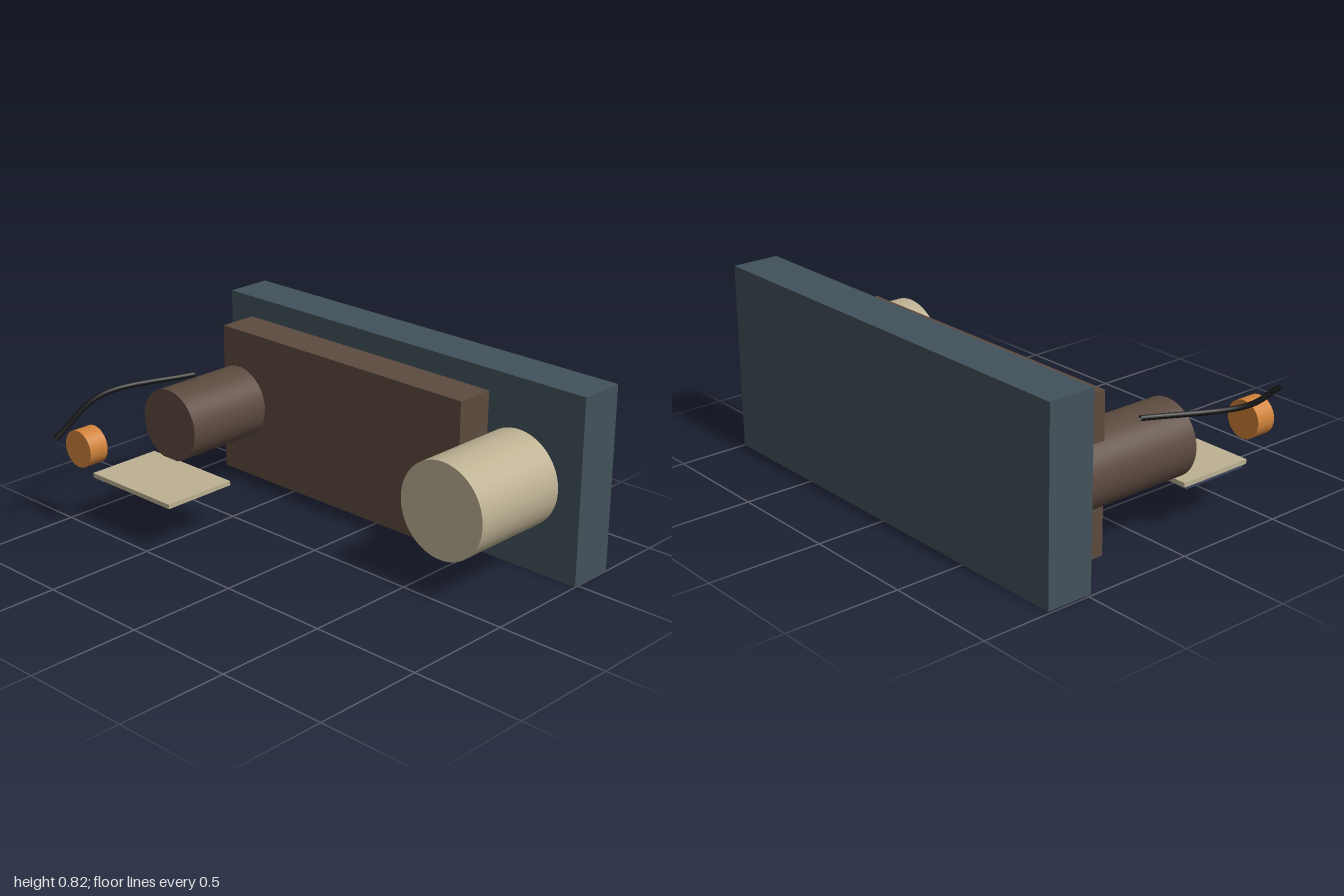
import * as THREE from 'three';

const material = (name, color, side = THREE.FrontSide) => {
  const m = new THREE.MeshStandardMaterial({ color, side });
  m.name = name;
  return m;
};

export function createModel() {
  const slate = material('slate', 0x42525b);
  const brown = material('brown', 0x5c4a3f);
  const cream = material('cream', 0xbdb193);
  const orange = material('orange', 0xd0823a);
  const navy = material('navy', 0x3c4560);
  const black = material('black', 0x111111, THREE.DoubleSide);

  const model = new THREE.Group();
  model.name = 'model';

  const add = (name, geometry, mat) => {
    const mesh = new THREE.Mesh(geometry, mat);
    mesh.name = name;
    model.add(mesh);
    return mesh;
  };
  // Box given by its limits on each axis
  const box = (name, mat, [x0, x1], [y0, y1], [z0, z1]) =>
    add(name, new THREE.BoxGeometry(x1 - x0, y1 - y0, z1 - z0), mat)
      .position.set((x0 + x1) / 2, (y0 + y1) / 2, (z0 + z1) / 2);
  // Cylinder lying along z
  const barrel = (name, mat, x, y, r, z0, z1) =>
    add(name, new THREE.CylinderGeometry(r, r, z1 - z0, 64).rotateX(Math.PI / 2), mat)
      .position.set(x, y, (z0 + z1) / 2);

  // Back board and the panel mounted on it
  box('backBoard', slate, [-0.99, 1], [0, 0.82], [-0.69, -0.48]);
  box('frontPanel', brown, [-0.86, 0.52], [0.05, 0.725], [-0.48, -0.303]);

  // Barrels
  barrel('largeKnob', cream, 0.68, 0.39, 0.21, -0.48, -0.007);
  barrel('sideBarrel', brown, -0.765, 0.39, 0.163, -0.48, 0.12);
  barrel('smallButton', orange, -0.84, 0.388, 0.082, 0.475, 0.567);

  // Shelf plate with a strip beneath one edge
  box('shelfPlate', cream, [-0.882, -0.395], [0.214, 0.234], [0.11, 0.46]);
  box('shelfStrip', navy, [-0.875, -0.835], [0.199, 0.214], [0.125, 0.45]);

  // Bowed cable
  const path = new THREE.CatmullRomCurve3([
    new THREE.Vector3(-0.84, 0.55, -0.1),
    new THREE.Vector3(-0.98, 0.53, 0.3),
    new THREE.Vector3(-0.84, 0.47, 0.68),
  ]);
  add('cable', new THREE.TubeGeometry(path, 40, 0.012, 8), black);

  return model;
}
